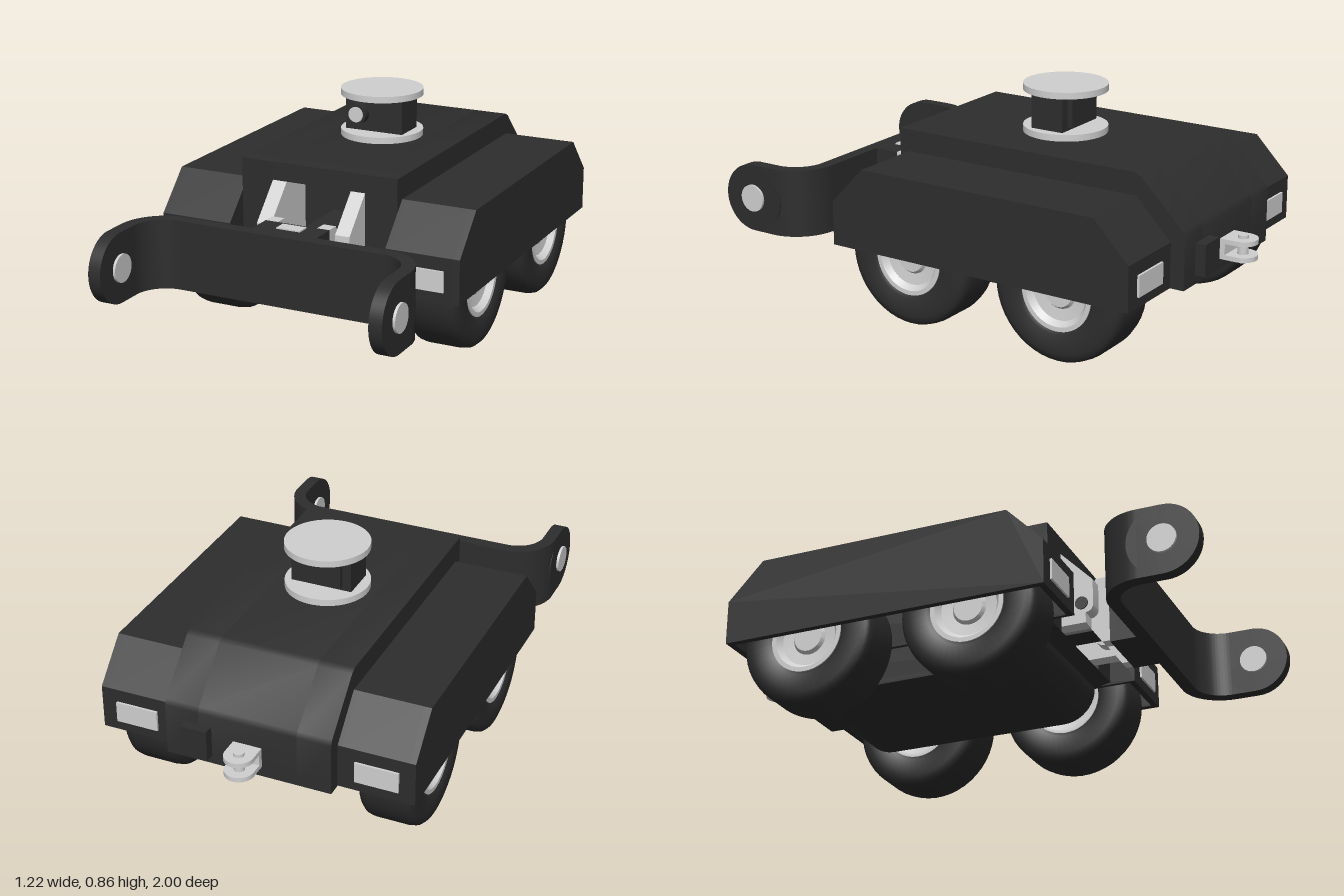
import * as THREE from 'three';
import { toCreasedNormals } from 'three/addons/utils/BufferGeometryUtils.js';

const dark = new THREE.MeshStandardMaterial({ color: 0x2d2d2d });
dark.name = 'charcoal';
const light = new THREE.MeshStandardMaterial({ color: 0xd0d0d0 });
light.name = 'lightGrey';

export function createModel() {
  const model = new THREE.Group();

  function add(name, geometry, material, x = 0, y = 0, z = 0) {
    const mesh = new THREE.Mesh(geometry, material);
    mesh.name = name;
    mesh.position.set(x, y, z);
    model.add(mesh);
    return mesh;
  }
  const box = (name, mat, x0, x1, y0, y1, z0, z1) =>
    add(name, new THREE.BoxGeometry(x1 - x0, y1 - y0, z1 - z0), mat, (x0 + x1) / 2, (y0 + y1) / 2, (z0 + z1) / 2);

  // Side profile given as [z, y] points, extruded from x0 to x1
  function side(name, mat, points, x0, x1) {
    const shape = new THREE.Shape(points.map(([z, y]) => new THREE.Vector2(z, y)));
    const geo = new THREE.ExtrudeGeometry(shape, { depth: x1 - x0, bevelEnabled: false });
    geo.rotateY(-Math.PI / 2).translate(x1, 0, 0);
    return add(name, toCreasedNormals(geo, 0.5), mat);
  }
  function cylinder(name, mat, r, length, axis, x, y, z, segments = 40) {
    const geo = new THREE.CylinderGeometry(r, r, length, segments);
    if (axis === 'x') geo.rotateZ(Math.PI / 2);
    if (axis === 'z') geo.rotateX(Math.PI / 2);
    return add(name, geo, mat, x, y, z);
  }
  function arc(cz, cy, r, a0, a1, n = 10) {
    return Array.from({ length: n + 1 }, (_, i) => {
      const a = a0 + (a1 - a0) * i / n;
      return [cz + r * Math.cos(a), cy + r * Math.sin(a)];
    });
  }
  // Runs a builder for both sides with the x range mirrored
  const both = (x0, x1, build) => {
    build('left', x0, x1, 1);
    build('right', -x1, -x0, -1);
  };

  // Hull: two solid cheeks and a middle section with a front recess
  const belly = [
    [-0.88, 0.27], [-0.72, 0.27],
    ...arc(-0.59, 0.265, 0.13, Math.PI, Math.PI * 1.5),
    ...arc(0.15, 0.265, 0.13, -Math.PI / 2, 0), [0.345, 0.28],
  ];
  const roof = [[0.345, 0.67], [-0.675, 0.67], [-0.70, 0.658], [-0.87, 0.49], [-0.88, 0.47]];
  both(0.19, 0.32, (s, x0, x1) => side(s + 'HullCheek', dark, [...belly, ...roof], x0, x1));
  side('hullCentre', dark, [...belly, [0.12, 0.28], [0.12, 0.6], [0.345, 0.6], ...roof], -0.19, 0.19);

  // Fenders: hollow arches closed by side plates
  const outer = [[0.445, 0.27], [0.445, 0.44], [0.305, 0.585], [-0.685, 0.585], [-0.825, 0.44], [-0.825, 0.27]];
  const inner = [[-0.80, 0.27], [-0.80, 0.43], [-0.675, 0.56], [0.295, 0.56], [0.42, 0.43], [0.42, 0.27]];
  both(0.335, 0.585, (s, x0, x1) => side(s + 'FenderArch', dark, [...outer, ...inner], x0, x1));
  both(0.585, 0.61, (s, x0, x1) => side(s + 'FenderOuterPlate', dark, outer, x0, x1));
  both(0.32, 0.335, (s, x0, x1) => side(s + 'FenderInnerPlate', dark, outer, x0, x1));
  both(0.385, 0.55, (s, x0, x1) => {
    box(s + 'HeadLamp', light, x0, x1, 0.31, 0.39, 0.445, 0.453);
    box(s + 'TailLamp', light, x0, x1, 0.31, 0.39, -0.834, -0.825);
  });

  // Wheels: tyre and dished hub, turned around the axle
  const lathe = pts => toCreasedNormals(
    new THREE.LatheGeometry(pts.map(p => new THREE.Vector2(...p)), 48), 0.7);
  const tyre = lathe([[0.14, 0.375], [0.155, 0.365], [0.225, 0.363], [0.247, 0.37], [0.258, 0.382], [0.263, 0.405],
    [0.263, 0.53], [0.258, 0.555], [0.247, 0.567], [0.225, 0.574], [0.155, 0.572], [0.14, 0.562]]);
  const hub = lathe([[0, 0.385], [0.10, 0.385], [0.125, 0.37], [0.142, 0.37], [0.142, 0.568],
    [0.125, 0.568], [0.108, 0.545], [0.065, 0.54], [0.055, 0.553], [0, 0.553]]);
  for (const z of [0.133, -0.51]) {
    both(0, 0, (s, a, b, sign) => {
      add(s + 'Tyre', tyre, dark, 0, 0.263, z).rotation.z = -sign * Math.PI / 2;
      add(s + 'Hub', hub, light, 0, 0.263, z).rotation.z = -sign * Math.PI / 2;
      cylinder(s + 'Axle', dark, 0.04, 0.1, 'x', sign * 0.35, 0.263, z, 24);
    });
  }

  // Sensor turret
  cylinder('turretBase', light, 0.16, 0.025, 'y', 0, 0.6825, -0.19, 64);
  cylinder('turretCap', light, 0.16, 0.025, 'y', 0, 0.8425, -0.19, 64);
  box('turretBody', dark, -0.12, 0.12, 0.695, 0.83, -0.25, -0.115);
  box('turretRear', dark, -0.085, 0.085, 0.71, 0.815, -0.273, -0.25);
  cylinder('lensBarrel', dark, 0.04, 0.035, 'z', -0.06, 0.763, -0.1);
  cylinder('lens', light, 0.03, 0.008, 'z', -0.06, 0.763, -0.081);

  // Fork: bent bar with rounded ends and pivot discs
  const fork = new THREE.Shape();
  fork.moveTo(0.575, 0.867);
  fork.lineTo(0.525, 0.867);
  fork.lineTo(0.525, 0.775);
  fork.absarc(0.41, 0.775, 0.115, 0, -Math.PI / 2, true);
  fork.lineTo(-0.41, 0.66);
  fork.absarc(-0.41, 0.775, 0.115, -Math.PI / 2, -Math.PI, true);
  fork.lineTo(-0.525, 0.867);
  fork.lineTo(-0.575, 0.867);
  fork.lineTo(-0.575, 0.775);
  fork.absarc(-0.41, 0.775, 0.165, Math.PI, Math.PI * 1.5, false);
  fork.lineTo(0.41, 0.61);
  fork.absarc(0.41, 0.775, 0.165, -Math.PI / 2, 0, false);
  const forkGeo = new THREE.ExtrudeGeometry(fork, { depth: 0.265, bevelEnabled: false, curveSegments: 16 });
  forkGeo.rotateX(Math.PI / 2).translate(0, 0.5, 0);
  add('forkBar', toCreasedNormals(forkGeo, 0.5), dark);
  both(0, 0, (s, a, b, sign) => {
    cylinder(s + 'ForkEnd', dark, 0.1325, 0.05, 'x', sign * 0.55, 0.3675, 0.867, 48);
    cylinder(s + 'ForkPivot', light, 0.053, 0.07, 'x', sign * 0.55, 0.3675, 0.867);
  });

  // Coupling between the fork and the hull
  box('couplingBlock', dark, -0.13, 0.13, 0.235, 0.5, 0.51, 0.615);
  box('couplingPlate', light, -0.048, 0.048, 0.5, 0.505, 0.53, 0.58);
  box('liftArm', dark, -0.05, 0.05, 0.33, 0.44, 0.12, 0.51);
  both(0.132, 0.19, (s, x0, x1) => side(s + 'HullBracket', light,
    [[0.2, 0.3], [0.44, 0.3], ...arc(0.44, 0.37, 0.03, -Math.PI / 2, 0, 4),
      [0.47, 0.47], [0.345, 0.6], [0.2, 0.6]], x0, x1));
  both(0.08, 0.13, (s, x0, x1) => side(s + 'CouplingLug', light,
    [[0.51, 0.24], [0.51, 0.5], [0.46, 0.5], ...arc(0.42, 0.38, 0.055, Math.PI / 2, Math.PI * 1.5, 8), [0.48, 0.24]], x0, x1));
  cylinder('couplingPin', dark, 0.025, 0.39, 'x', 0, 0.38, 0.425, 24);

  // Rear tow hitch: two rounded eyes on a base, joined by a pin
  const eye = new THREE.Shape();
  eye.moveTo(0.055, -0.88);
  eye.lineTo(-0.055, -0.88);
  eye.lineTo(-0.055, -0.945);
  eye.absarc(0, -0.945, 0.055, Math.PI, Math.PI * 2, false);
  const eyeGeo = new THREE.ExtrudeGeometry(eye, { depth: 0.018, bevelEnabled: false, curveSegments: 20 });
  eyeGeo.rotateX(Math.PI / 2);
  const eyeSmooth = toCreasedNormals(eyeGeo, 0.5);
  add('upperHitchEye', eyeSmooth, light, 0, 0.388, 0);
  add('lowerHitchEye', eyeSmooth, light, 0, 0.328, 0);
  box('hitchBase', light, -0.055, 0.055, 0.31, 0.388, -0.9, -0.88);
  cylinder('hitchPin', light, 0.02, 0.105, 'y', 0, 0.348, -0.945, 24);

  // Rear socket box
  box('socketBox', dark, 0.14, 0.24, 0.305, 0.425, -0.92, -0.88);

  return model;
}
